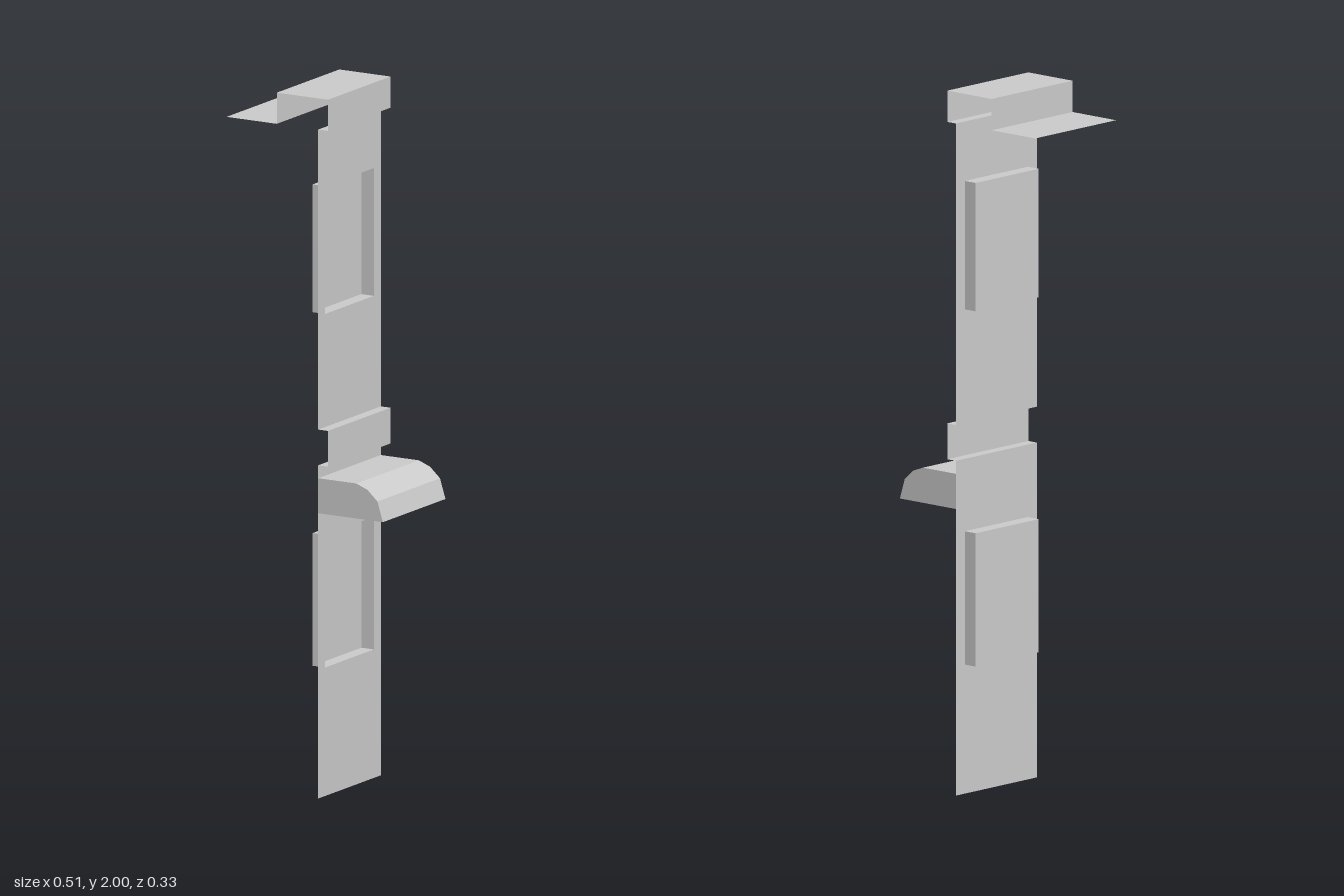
import * as THREE from 'three';

const W = 0.167;       // half width of the facade
const WALL = 0.044;    // x of the wall plane
const BAND = 0.076;    // x of the projecting mouldings

const material = new THREE.MeshStandardMaterial({
  color: 0xcccccc, flatShading: true, side: THREE.DoubleSide,
});

function addMesh(parent, name, geometry) {
  const mesh = new THREE.Mesh(geometry, material);
  mesh.name = name;
  parent.add(mesh);
  return mesh;
}

// Thin folded sheet: an [x, y] profile swept across the width
function foldedSheet(profile, halfWidth = W) {
  const pos = [];
  for (let i = 0; i < profile.length - 1; i++) {
    const [ax, ay] = profile[i], [bx, by] = profile[i + 1];
    const a = [ax, ay, halfWidth], b = [bx, by, halfWidth];
    const c = [bx, by, -halfWidth], d = [ax, ay, -halfWidth];
    pos.push(...a, ...b, ...c, ...a, ...c, ...d);
  }
  const g = new THREE.BufferGeometry();
  g.setAttribute('position', new THREE.Float32BufferAttribute(pos, 3));
  g.computeVertexNormals();
  return g;
}

// Rectangle path in the wall plane
function rect(PathType, halfWidth, y0, y1) {
  return new PathType([
    new THREE.Vector2(-halfWidth, y0), new THREE.Vector2(halfWidth, y0),
    new THREE.Vector2(halfWidth, y1), new THREE.Vector2(-halfWidth, y1),
  ]);
}

// Flat wall panel facing +x with optional window opening
function wallPanel(y0, y1, win) {
  const shape = rect(THREE.Shape, W, y0, y1);
  if (win) shape.holes.push(rect(THREE.Path, win.half, win.y0, win.y1));
  return new THREE.ShapeGeometry(shape).rotateY(Math.PI / 2).translate(WALL, 0, 0);
}

// Recessed window: back pane plus four reveals
function addWindow(parent, name, { half, y0, y1 }) {
  const group = new THREE.Group();
  group.name = name;
  const back = 0.003;
  addMesh(group, 'paneAndSills',
    foldedSheet([[WALL, y1], [back, y1], [back, y0], [WALL, y0]], half));
  for (const s of [-1, 1]) {
    const reveal = new THREE.PlaneGeometry(WALL - back, y1 - y0);
    if (s > 0) reveal.rotateY(Math.PI);
    reveal.translate((WALL + back) / 2, (y0 + y1) / 2, s * half);
    addMesh(group, s > 0 ? 'revealFront' : 'revealBack', reveal);
  }
  parent.add(group);
}

export function createModel() {
  const model = new THREE.Group();
  model.name = 'facade';

  const lower = { half: 0.13, y0: 0.367, y1: 0.746 };
  const upper = { half: 0.13, y0: 1.377, y1: 1.742 };

  // Walls and windows
  addMesh(model, 'lowerWall', wallPanel(0, 0.952, lower));
  addMesh(model, 'upperWall', wallPanel(1.054, 1.911, upper));
  addWindow(model, 'lowerWindow', lower);
  addWindow(model, 'upperWindow', upper);

  // Projecting band between the storeys
  addMesh(model, 'storeyBand', foldedSheet(
    [[WALL, 1.054], [BAND, 1.054], [BAND, 0.952], [WALL, 0.952]]));

  // Cornice, parapet top and roof behind it
  addMesh(model, 'corniceAndRoof', foldedSheet(
    [[WALL, 1.911], [BAND, 1.911], [BAND, 2], [-0.091, 2], [-0.091, 1.911], [-0.255, 1.911]]));

  // Awning, open underneath, with closed ends
  const curve = [[WALL, 0.915], [0.168, 0.915], [0.205, 0.901], [0.237, 0.872], [0.255, 0.815]];
  const awning = new THREE.Group();
  awning.name = 'awning';
  addMesh(awning, 'awningTop', foldedSheet(curve));
  const endShape = new THREE.Shape(
    [...curve, [WALL, 0.815]].map(([x, y]) => new THREE.Vector2(x, y)));
  for (const s of [-1, 1]) {
    addMesh(awning, s > 0 ? 'awningEndFront' : 'awningEndBack',
      new THREE.ShapeGeometry(endShape).translate(0, 0, s * W));
  }
  model.add(awning);

  return model;
}
